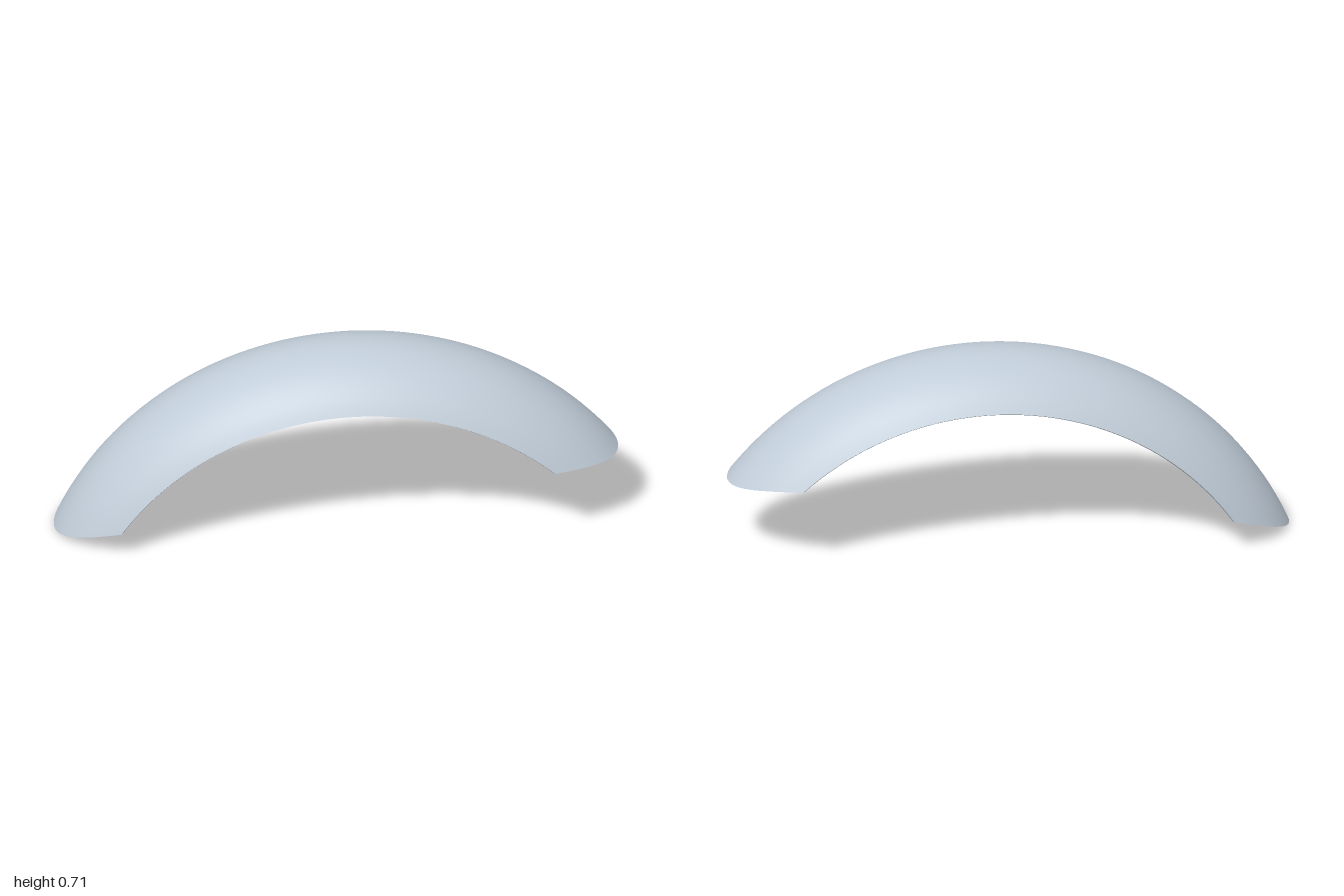
import * as THREE from 'three';

const CENTRE = { x: 0.077, y: -0.456 };   // centre of the wheel arc
const R_TOP = 1.169, R_EDGE = 1.0215;     // radius at crown and at side edges
const SECTION = 0.2995, THICK = 0.01;     // cross-section radius and sheet thickness
const HALF = THREE.MathUtils.degToRad(59.5);
const ROLL = 0.02, ROLL_Y = 0.27;         // slight sideways lean
const lerp = THREE.MathUtils.lerp;

// Point on the sheet: t along the arc (0..1), a across it (-1..1), d depth into the sheet (0..1)
function sheetPoint(t, a, d) {
  const s = SECTION - d * THICK;
  const r = R_TOP - SECTION + s * Math.cos(a * HALF);
  const z = s * Math.sin(a * HALF);
  // the ends are cut at a slant, so they depend on the radius
  const k = (r - R_EDGE) / (R_TOP - R_EDGE);
  const start = lerp(146.6, 157.05, k), end = lerp(47.9, 37.8, k);
  const angle = THREE.MathUtils.degToRad(lerp(start, end, t));
  const x = CENTRE.x + r * Math.cos(angle);
  const y = CENTRE.y + r * Math.sin(angle);
  return [x, y - ROLL * z, z + ROLL * (y - ROLL_Y)];
}

// Grid surface over u, v in 0..1, facing dv x du
function surface(point, nu, nv) {
  const positions = [], index = [];
  for (let i = 0; i <= nu; i++) {
    for (let j = 0; j <= nv; j++) positions.push(...point(i / nu, j / nv));
  }
  for (let i = 0; i < nu; i++) {
    for (let j = 0; j < nv; j++) {
      const p = i * (nv + 1) + j, q = p + nv + 1;
      index.push(p, p + 1, q, p + 1, q + 1, q);
    }
  }
  const geometry = new THREE.BufferGeometry();
  geometry.setAttribute('position', new THREE.Float32BufferAttribute(positions, 3));
  geometry.setIndex(index);
  geometry.computeVertexNormals();
  return geometry;
}

export function createModel() {
  const group = new THREE.Group();
  group.name = 'fender';
  const paint = new THREE.MeshStandardMaterial({ color: 0xc0ccd8 });
  paint.name = 'pale blue grey';
  const LONG = 56, WIDE = 20;

  const add = (name, point, nu, nv) => {
    const mesh = new THREE.Mesh(surface(point, nu, nv), paint);
    mesh.name = name;
    group.add(mesh);
  };

  // curved skins
  add('outerSkin', (u, v) => sheetPoint(u, 2 * v - 1, 0), LONG, WIDE);
  add('innerSkin', (u, v) => sheetPoint(u, 1 - 2 * v, 1), LONG, WIDE);
  // thin rims along the side edges
  add('frontRim', (u, v) => sheetPoint(u, 1, v), LONG, 1);
  add('backRim', (u, v) => sheetPoint(u, -1, 1 - v), LONG, 1);
  // thin rims across the two slanted ends
  add('leftEndRim', (u, v) => sheetPoint(1, 2 * v - 1, u), 1, WIDE);
  add('rightEndRim', (u, v) => sheetPoint(0, 2 * v - 1, 1 - u), 1, WIDE);
  return group;
}
